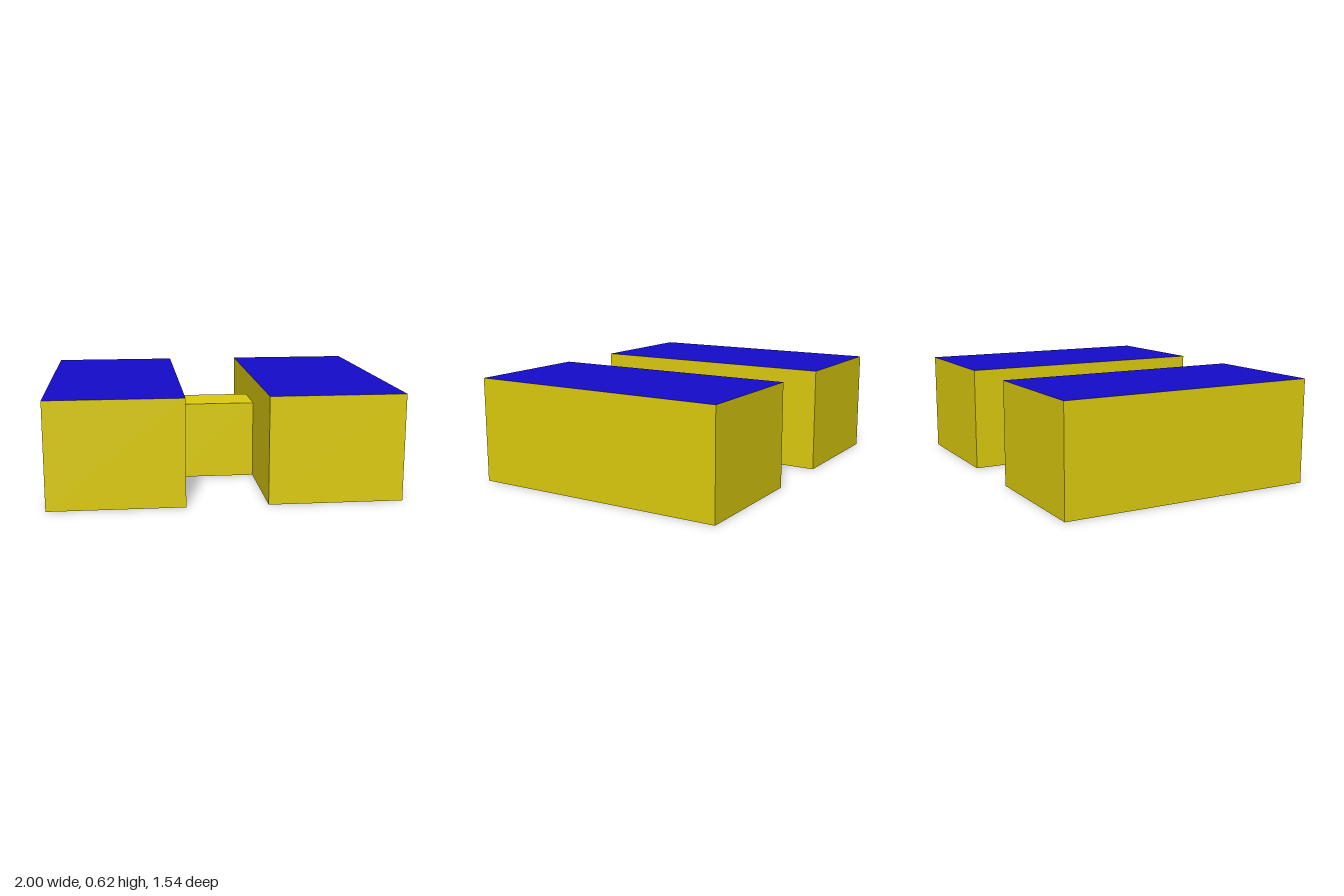
import * as THREE from 'three';

// Everything sits on a grid of 1/13 unit (26 x 8 x 20 cells)
const U = 1 / 13;

export function createModel() {
  const group = new THREE.Group();
  const wall = new THREE.MeshStandardMaterial({ color: 0xddcc0e });
  const roof = new THREE.MeshStandardMaterial({ color: 0x150bcc });
  const floor = new THREE.MeshStandardMaterial({ color: 0xcccccc });

  // Box standing on the ground; sizes in cells, separate top and underside colours
  function building(name, width, height, depth, x, top) {
    const geometry = new THREE.BoxGeometry(width * U, height * U, depth * U);
    const mesh = new THREE.Mesh(geometry, [wall, wall, top, floor, wall, wall]);
    mesh.name = name;
    mesh.position.set(x * U, (height * U) / 2, 0);
    group.add(mesh);
  }

  // Two long wings joined by a lower link
  building('leftWing', 10, 8, 20, 8, roof);
  building('rightWing', 10, 8, 20, -8, roof);
  building('connectingLink', 6, 6, 4, 0, wall);

  return group;
}
